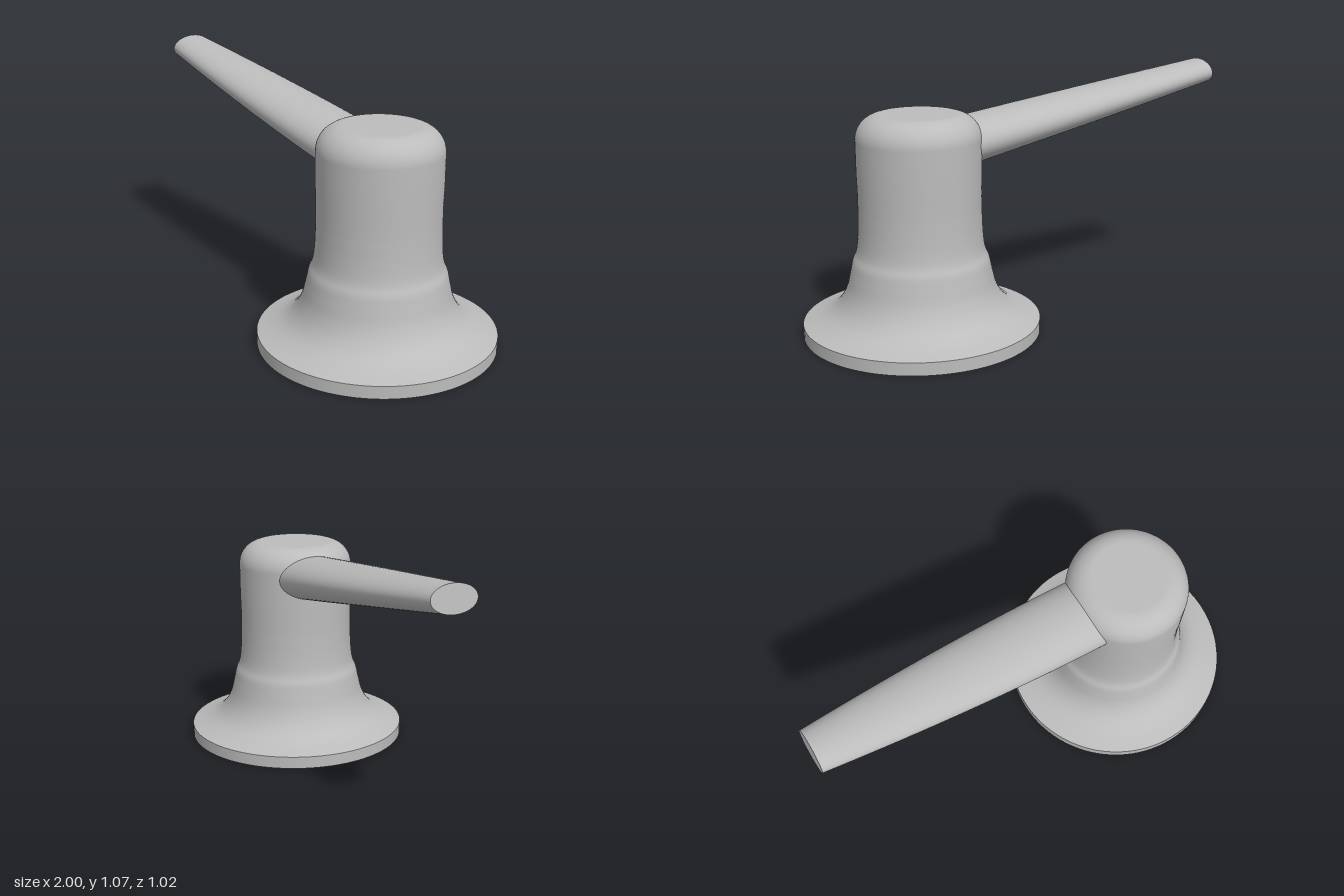
import * as THREE from 'three';

const CENTER_X = 0.492;

export function createModel() {
  const group = new THREE.Group();
  const metal = new THREE.MeshStandardMaterial({ color: 0xbcbcbc });
  metal.name = 'grey metal';

  const add = (name, geometry) => {
    const mesh = new THREE.Mesh(geometry, metal);
    mesh.name = name;
    group.add(mesh);
    return mesh;
  };

  // Flat disc the fixture stands on
  const flange = add('baseFlange', new THREE.CylinderGeometry(0.508, 0.508, 0.055, 96));
  flange.position.set(CENTER_X, 0.0275, 0);

  // Flared skirt running up into a straight body with a rounded shoulder
  const flare = new THREE.SplineCurve([
    [0.508, 0.055], [0.44, 0.077], [0.385, 0.107], [0.345, 0.15], [0.318, 0.205],
    [0.302, 0.27], [0.291, 0.32], [0.276, 0.357], [0.268, 0.4], [0.263, 0.47], [0.261, 0.55],
  ].map(([x, y]) => new THREE.Vector2(x, y))).getPoints(50);
  const profile = [...flare, new THREE.Vector2(0.261, 0.62), new THREE.Vector2(0.263, 0.7)];
  const fillet = 0.105;
  for (let i = 0; i <= 14; i++) {
    const a = (i / 14) * Math.PI / 2;
    profile.push(new THREE.Vector2(0.158 + fillet * Math.cos(a), 0.84 + fillet * Math.sin(a)));
  }
  profile.push(new THREE.Vector2(0, 0.945));
  add('body', new THREE.LatheGeometry(profile, 96)).position.x = CENTER_X;

  // Tapered oval lever, its inner end buried in the body
  const length = 1.4;
  const lever = new THREE.CylinderGeometry(1, 1, length, 64, 20, false, -Math.PI / 2);
  const p = lever.attributes.position;
  for (let i = 0; i < p.count; i++) {
    const u = (length / 2 - p.getY(i)) / 1.25;
    const halfHeight = 0.057 + 0.042 * u;
    const halfWidth = 0.098 + 0.064 * (1 - Math.pow(Math.max(0, 1 - u), 1.8));
    p.setXYZ(i, p.getX(i) * halfHeight, p.getY(i) - length / 2, p.getZ(i) * halfWidth);
  }
  lever.computeVertexNormals();
  const handle = add('lever', lever);
  handle.position.set(-0.99, 1.013, 0);
  handle.rotation.z = Math.PI / 2 - 0.158;

  return group;
}
